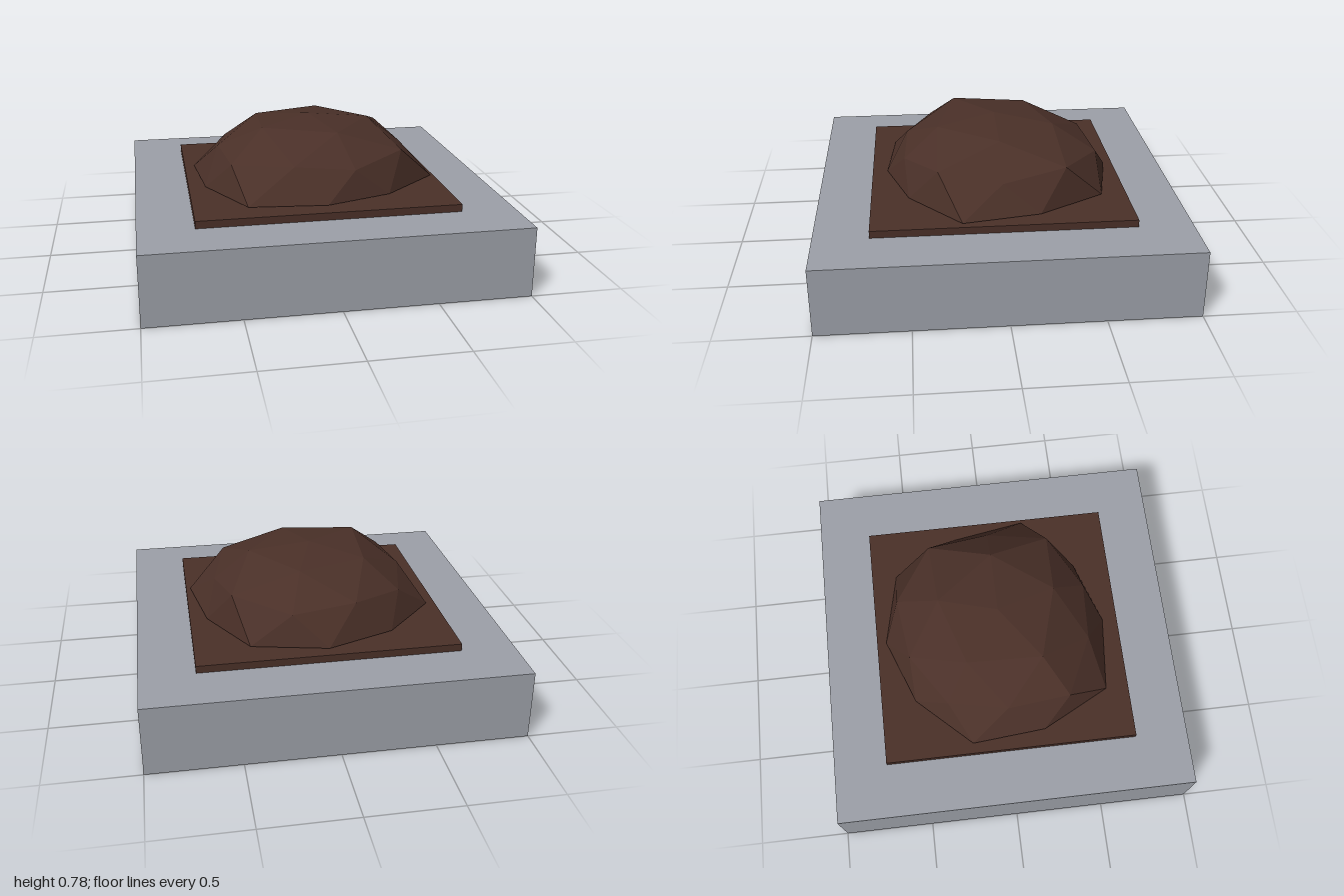
import * as THREE from 'three';

// Low-poly dome: upper half of a once-subdivided icosphere, each vertex pushed in or out
function domeGeometry(radius, height, foot) {
  const ring = (sine, cosine, startDeg, factors) => factors.map((f, i) => {
    const a = THREE.MathUtils.degToRad(startDeg + (i * 360) / factors.length);
    return [Math.cos(a) * sine * radius * f, cosine * height * f, Math.sin(a) * sine * radius * f];
  });
  const apex = [0, height * 0.96, 0];
  const crown = ring(0.526, 0.851, 0, [1.02, 1.01, 1.07, 1.0, 1.0]);
  const corner = ring(0.894, 0.447, 0, [0.95, 0.94, 1.03, 0.96, 1.02]);
  const mid = ring(0.851, 0.526, 36, [1.05, 0.95, 0.95, 0.985, 1.08]);
  const rim = ring(1, 0, 18, [1.11, 0.955, 0.96, 1.104, 1.0, 1.06, 0.977, 1.01, 1.076, 0.995]);
  const under = rim.map(([x, , z]) => [x * 0.93, -foot, z * 0.93]);

  const pos = [];
  const tri = (a, b, c) => pos.push(...a, ...b, ...c);
  for (let k = 0; k < 5; k++) {
    const n = (k + 1) % 5;
    const e0 = rim[(2 * k + 9) % 10], e1 = rim[2 * k], e2 = rim[2 * k + 1];
    tri(apex, crown[n], crown[k]);
    tri(crown[k], crown[n], mid[k]);
    tri(crown[k], mid[k], corner[k]);
    tri(crown[n], corner[n], mid[k]);
    tri(corner[k], e1, e0);
    tri(corner[k], mid[k], e1);
    tri(mid[k], e2, e1);
    tri(mid[k], corner[n], e2);
  }
  // Tucked-under edge and flat bottom
  for (let i = 0; i < 10; i++) {
    const n = (i + 1) % 10;
    tri(rim[i], rim[n], under[n]);
    tri(rim[i], under[n], under[i]);
    tri([0, -foot, 0], under[i], under[n]);
  }
  const geo = new THREE.BufferGeometry();
  geo.setAttribute('position', new THREE.Float32BufferAttribute(pos, 3));
  geo.computeVertexNormals();
  return geo;
}

export function createModel() {
  const group = new THREE.Group();
  group.name = 'soilMoundOnSlab';
  const stone = new THREE.MeshStandardMaterial({ name: 'greyStone', color: 0x9ca0a8 });
  const soil = new THREE.MeshStandardMaterial({ name: 'brownSoil', color: 0x4a3028 });
  soil.flatShading = true;

  const add = (name, geometry, material, y) => {
    const mesh = new THREE.Mesh(geometry, material);
    mesh.name = name;
    mesh.position.y = y;
    group.add(mesh);
  };

  add('slab', new THREE.BoxGeometry(2, 0.38, 2), stone, 0.19);
  add('soilBed', new THREE.BoxGeometry(1.41, 0.04, 1.41), soil, 0.4);
  add('soilMound', domeGeometry(0.645, 0.36, 0.012), soil, 0.43);
  return group;
}
